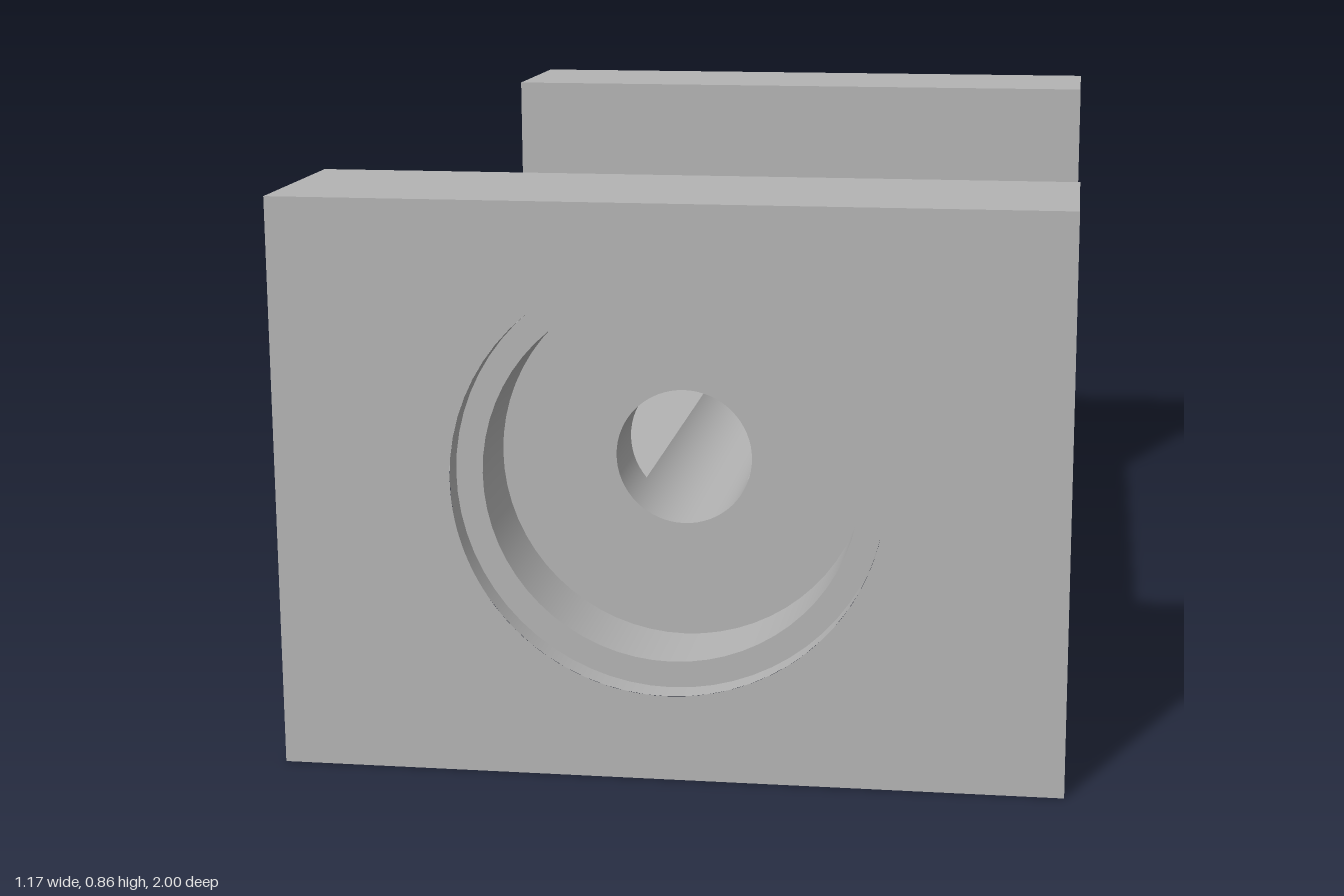
import * as THREE from 'three';
import { mergeGeometries } from 'three/addons/utils/BufferGeometryUtils.js';

const HX = 0.585, HZ = 1, TOP = 0.863;       // block half width, half length, height
const FLOOR = 0.383, WALL = 0.7;             // channel floor height, inner wall position
const BORE_Y = 0.45, BORE_R = 0.104;         // shaft bore
const SEAT_R = 0.28, RIM_R = 0.32, SEAT_Z = 0.825, RIM_Z = 0.96;
const SCREW_X = 0.413, SCREW_Z = 0.24, SCREW_R = 0.06, HEAD_R = 0.098, HEAD_Y = 0.2;
const SEG = 64;
const GROOVE_A = Math.acos((BORE_Y - FLOOR) / BORE_R);
const GROOVE_X = BORE_R * Math.sin(GROOVE_A);

const polygon = (pts) => new THREE.Shape(pts.map(([x, y]) => new THREE.Vector2(x, y)));
const rect = (x0, y0, x1, y1) => polygon([[x0, y0], [x1, y0], [x1, y1], [x0, y1]]);

function punch(shape, x, y, r) {
  shape.holes.push(new THREE.Path().absarc(x, y, r, 0, Math.PI * 2, true));
  return shape;
}

// Inward-facing turned surface; each profile step keeps its own sharp edge
function turned(profile, start = 0, sweep = Math.PI * 2) {
  const steps = profile.slice(1).map((p, i) => new THREE.LatheGeometry(
    [profile[i], p].map(([r, y]) => new THREE.Vector2(r, y)), SEG, start, sweep));
  return mergeGeometries(steps);
}

export function createModel() {
  const group = new THREE.Group();
  const metal = new THREE.MeshStandardMaterial({ color: 0xb3b3b3 });
  const add = (name, geometry, parent = group) => {
    const mesh = new THREE.Mesh(geometry, metal);
    mesh.name = name;
    parent.add(mesh);
    return mesh;
  };
  const flat = (shape) => new THREE.ShapeGeometry(shape, SEG);

  // Both ends: outer face, stepped bearing seat, top and inner face
  for (const [name, turn] of [['frontWall', 0], ['backWall', Math.PI]]) {
    const wall = new THREE.Group();
    wall.name = name;
    wall.rotation.y = turn;
    group.add(wall);

    add('outerFace', flat(punch(rect(-HX, 0, HX, TOP), 0, BORE_Y, RIM_R)).translate(0, 0, HZ), wall);

    const seat = turned([[RIM_R, HZ], [RIM_R, RIM_Z], [SEAT_R, RIM_Z],
      [SEAT_R, SEAT_Z], [BORE_R, SEAT_Z], [BORE_R, WALL]]);
    add('bearingSeat', seat.rotateX(Math.PI / 2).translate(0, BORE_Y, 0), wall);

    add('wallTop', flat(rect(-HX, WALL, HX, HZ)).rotateX(Math.PI / 2).scale(1, -1, 1)
      .rotateZ(Math.PI).translate(0, TOP, 0), wall).geometry =
      new THREE.PlaneGeometry(2 * HX, HZ - WALL).rotateX(-Math.PI / 2)
        .translate(0, TOP, (HZ + WALL) / 2);

    // Inner face is notched by the bore where it meets the floor
    const inner = new THREE.Shape();
    inner.moveTo(-HX, FLOOR);
    inner.lineTo(-GROOVE_X, FLOOR);
    inner.absarc(0, BORE_Y, BORE_R, Math.PI * 1.5 - GROOVE_A, GROOVE_A - Math.PI / 2, true);
    inner.lineTo(HX, FLOOR);
    inner.lineTo(HX, TOP);
    inner.lineTo(-HX, TOP);
    add('innerFace', flat(inner).rotateY(Math.PI).translate(0, 0, WALL), wall);
  }

  // U-shaped sides
  const side = polygon([[-HZ, 0], [HZ, 0], [HZ, TOP], [WALL, TOP], [WALL, FLOOR],
    [-WALL, FLOOR], [-WALL, TOP], [-HZ, TOP]]);
  for (const s of [-1, 1]) {
    add(s > 0 ? 'leftSide' : 'rightSide',
      flat(side).rotateY(s * Math.PI / 2).translate(s * HX, 0, 0));

    // Floor strip beside the groove
    const strip = s > 0 ? rect(GROOVE_X, -WALL, HX, WALL) : rect(-HX, -WALL, -GROOVE_X, WALL);
    for (const z of [-SCREW_Z, SCREW_Z]) punch(strip, s * SCREW_X, z, SCREW_R);
    add('channelFloor', flat(strip).rotateX(-Math.PI / 2).translate(0, FLOOR, 0));
  }

  // Round groove running along the floor
  add('shaftGroove', turned([[BORE_R, WALL], [BORE_R, -WALL]], -GROOVE_A, 2 * GROOVE_A)
    .rotateX(Math.PI / 2).translate(0, BORE_Y, 0));

  // Underside with counterbored screw holes
  const bottom = rect(-HX, -HZ, HX, HZ);
  for (const x of [-SCREW_X, SCREW_X]) {
    for (const z of [-SCREW_Z, SCREW_Z]) {
      punch(bottom, x, z, HEAD_R);
      add('screwHole', turned([[SCREW_R, FLOOR], [SCREW_R, HEAD_Y], [HEAD_R, HEAD_Y], [HEAD_R, 0]])
        .translate(x, 0, z));
    }
  }
  add('underside', flat(bottom).rotateX(Math.PI / 2));

  return group;
}
